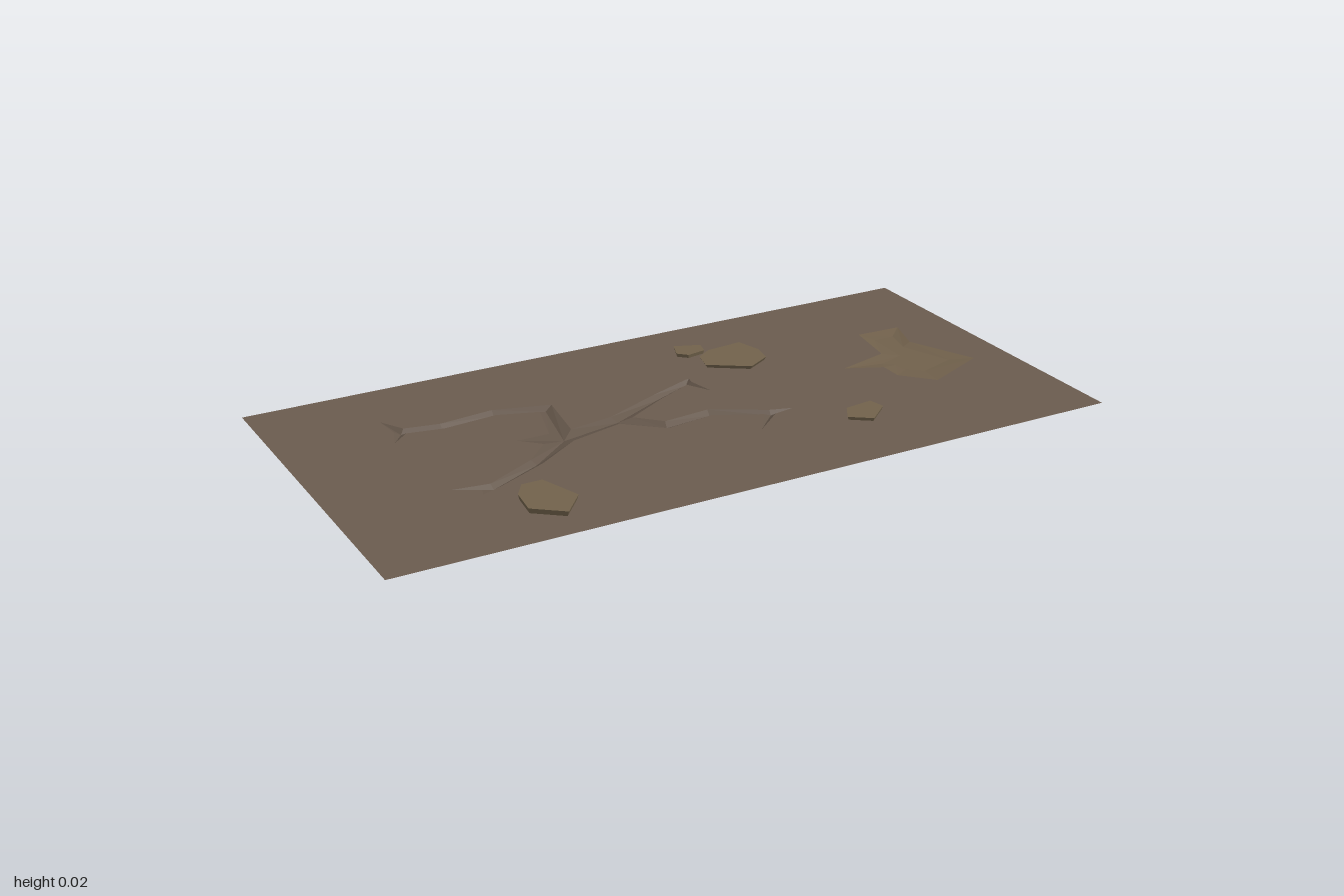
import * as THREE from 'three';

const GROUND_Y = 0.01;

const material = (color) => new THREE.MeshStandardMaterial({
  color, flatShading: true, side: THREE.DoubleSide, roughness: 1,
});

// Points are [x, z]; the shape plane is laid flat facing up.
const toVectors = (points) => points.map(([x, z]) => new THREE.Vector2(x, -z));

function flatSheet(points, y, holes = []) {
  const shape = new THREE.Shape(toVectors(points));
  holes.forEach((h) => shape.holes.push(new THREE.Path(toVectors(h))));
  return new THREE.ShapeGeometry(shape).rotateX(-Math.PI / 2).translate(0, y, 0);
}

// Closed strip between two matching rings of [x, y, z], wound to face up or down.
function band(ringA, ringB, faceUp) {
  const positions = [];
  const addTriangle = (a, b, c) => {
    const [p, q, r] = [a, b, c].map((v) => new THREE.Vector3(...v));
    const normal = q.clone().sub(p).cross(r.clone().sub(p));
    if (normal.length() < 1e-9) return;
    const corners = (normal.y > 0) === faceUp ? [p, q, r] : [p, r, q];
    corners.forEach((v) => positions.push(v.x, v.y, v.z));
  };
  ringA.forEach((a, i) => {
    const j = (i + 1) % ringA.length;
    addTriangle(a, ringA[j], ringB[j]);
    addTriangle(a, ringB[j], ringB[i]);
  });
  const geometry = new THREE.BufferGeometry();
  geometry.setAttribute('position', new THREE.Float32BufferAttribute(positions, 3));
  geometry.computeVertexNormals();
  return geometry;
}

const atHeight = (points, y) => points.map(([x, z]) => [x, y, z]);

// Branching crack: nodes are [x, z, half width], links join node numbers.
const crackNodes = [
  [-0.33, 0.015, 0.03], [-0.16, -0.02, 0.024],                       // two junctions
  [-0.29, -0.175, 0.02], [-0.42, -0.215, 0.017], [-0.57, -0.2, 0.016], // back left arm
  [-0.675, -0.22, 0.016], [-0.7, -0.3, 0], [-0.715, -0.16, 0],
  [-0.45, 0.11, 0.018], [-0.6, 0.185, 0.015], [-0.7, 0.155, 0], [-0.64, 0.215, 0], // front left arm
  [-0.44, -0.025, 0],                                                 // short spur
  [0, -0.1, 0.016], [0.115, -0.15, 0.012], [0.145, -0.07, 0], [0.135, -0.17, 0],   // back right arm
  [-0.065, 0.07, 0.02], [0.07, 0.055, 0.018], [0.21, 0.13, 0.014],   // front right arm
  [0.275, 0.135, 0], [0.13, 0.215, 0],
];
const crackLinks = [
  [0, 1], [0, 2], [2, 3], [3, 4], [4, 5], [5, 6], [5, 7], [0, 8], [8, 9], [9, 10], [9, 11],
  [0, 12], [1, 13], [13, 14], [14, 15], [14, 16], [1, 17], [17, 18], [18, 19], [19, 20], [19, 21],
];

// Walks round the branches, giving the rim and the matching point on the crack's bottom line.
function traceCrack() {
  const neighbours = crackNodes.map(() => []);
  crackLinks.forEach(([a, b]) => { neighbours[a].push(b); neighbours[b].push(a); });
  const angle = (a, b) =>
    Math.atan2(crackNodes[b][1] - crackNodes[a][1], crackNodes[b][0] - crackNodes[a][0]);
  const rim = [], bottom = [];
  let from = 0, at = 1;
  do {
    const [x, z, width] = crackNodes[at];
    const start = angle(at, from);
    let next = from, turn = Math.PI * 2;
    neighbours[at].forEach((n) => {
      const t = (angle(at, n) - start + Math.PI * 4) % (Math.PI * 2);
      if (n !== from && t < turn) { turn = t; next = n; }
    });
    const reach = width / Math.max(Math.sin(turn / 2), 0.45);
    const direction = start + turn / 2;
    rim.push([x + reach * Math.cos(direction), z + reach * Math.sin(direction)]);
    bottom.push([x, width ? 0 : GROUND_Y, z]);
    [from, at] = [at, next];
  } while (from !== 0 || at !== 1);
  return { rim, bottom };
}

// Shallow dent: rim and floor corners match one to one.
const dentRim = [
  [0.715, -0.215], [0.845, -0.21], [0.81, -0.1], [0.895, 0.085], [0.715, 0.165],
  [0.64, 0.085], [0.64, 0.02], [0.54, -0.025], [0.69, -0.065],
];
const dentFloor = [
  [0.74, -0.17], [0.8, -0.17], [0.78, -0.09], [0.835, 0.05], [0.73, 0.085],
  [0.69, 0.05], [0.685, 0.01], [0.66, -0.015], [0.735, -0.04],
];

// Flat stones, slightly wider at the top.
const stones = [
  { name: 'frontLeftStone', bottom: 0.003, top: 0.024, outline: [
    [-0.55, 0.235], [-0.495, 0.235], [-0.455, 0.35], [-0.515, 0.42], [-0.59, 0.36], [-0.58, 0.28]] },
  { name: 'largeBackStone', bottom: 0.008, top: 0.02, outline: [
    [0.27, -0.3], [0.375, -0.31], [0.395, -0.24], [0.385, -0.18], [0.315, -0.14], [0.21, -0.21], [0.225, -0.27]] },
  { name: 'smallBackStone', bottom: 0.008, top: 0.02, outline: [
    [0.2, -0.372], [0.27, -0.345], [0.26, -0.305], [0.205, -0.295], [0.18, -0.32]] },
  { name: 'frontRightStone', bottom: 0.007, top: 0.019, outline: [
    [0.385, 0.22], [0.465, 0.21], [0.475, 0.255], [0.41, 0.31], [0.355, 0.27]] },
];

function makeStone({ name, bottom, top, outline }, stoneMaterial) {
  const centre = [0, 1].map((k) => outline.reduce((s, p) => s + p[k], 0) / outline.length);
  const base = outline.map((p) => p.map((v, k) => centre[k] + (v - centre[k]) * 0.92));
  const lower = atHeight(base, bottom), upper = atHeight(outline, top);
  const stone = new THREE.Group();
  stone.name = name;
  const parts = {
    stoneTop: flatSheet(outline, top),
    stoneSides: band(lower, upper, false),
    stoneBase: band(lower, lower.map(() => [centre[0], bottom, centre[1]]), false),
  };
  for (const [partName, geometry] of Object.entries(parts)) {
    const mesh = new THREE.Mesh(geometry, stoneMaterial);
    mesh.name = partName;
    stone.add(mesh);
  }
  return stone;
}

export function createModel() {
  const model = new THREE.Group();
  model.name = 'crackedGround';
  const add = (name, geometry, mat) => {
    const mesh = new THREE.Mesh(geometry, mat);
    mesh.name = name;
    model.add(mesh);
  };
  const earth = material(0x6a5b4e);
  const dentEarth = material(0x70604b);
  const stoneMaterial = material(0x71624b);

  // Ground sheet, open where the crack and dent sink in
  const crack = traceCrack();
  const corners = [[-1, -0.5], [1, -0.5], [1, 0.5], [-1, 0.5]];
  add('ground', flatSheet(corners, GROUND_Y, [crack.rim, dentRim]), earth);

  // V-shaped crack
  add('crack', band(atHeight(crack.rim, GROUND_Y), crack.bottom, true), material(0x64564a));

  // Dent
  add('dentWalls', band(atHeight(dentRim, GROUND_Y), atHeight(dentFloor, 0.004), true), dentEarth);
  add('dentFloor', flatSheet(dentFloor, 0.004), dentEarth);

  // Stones
  stones.forEach((s) => model.add(makeStone(s, stoneMaterial)));
  return model;
}
